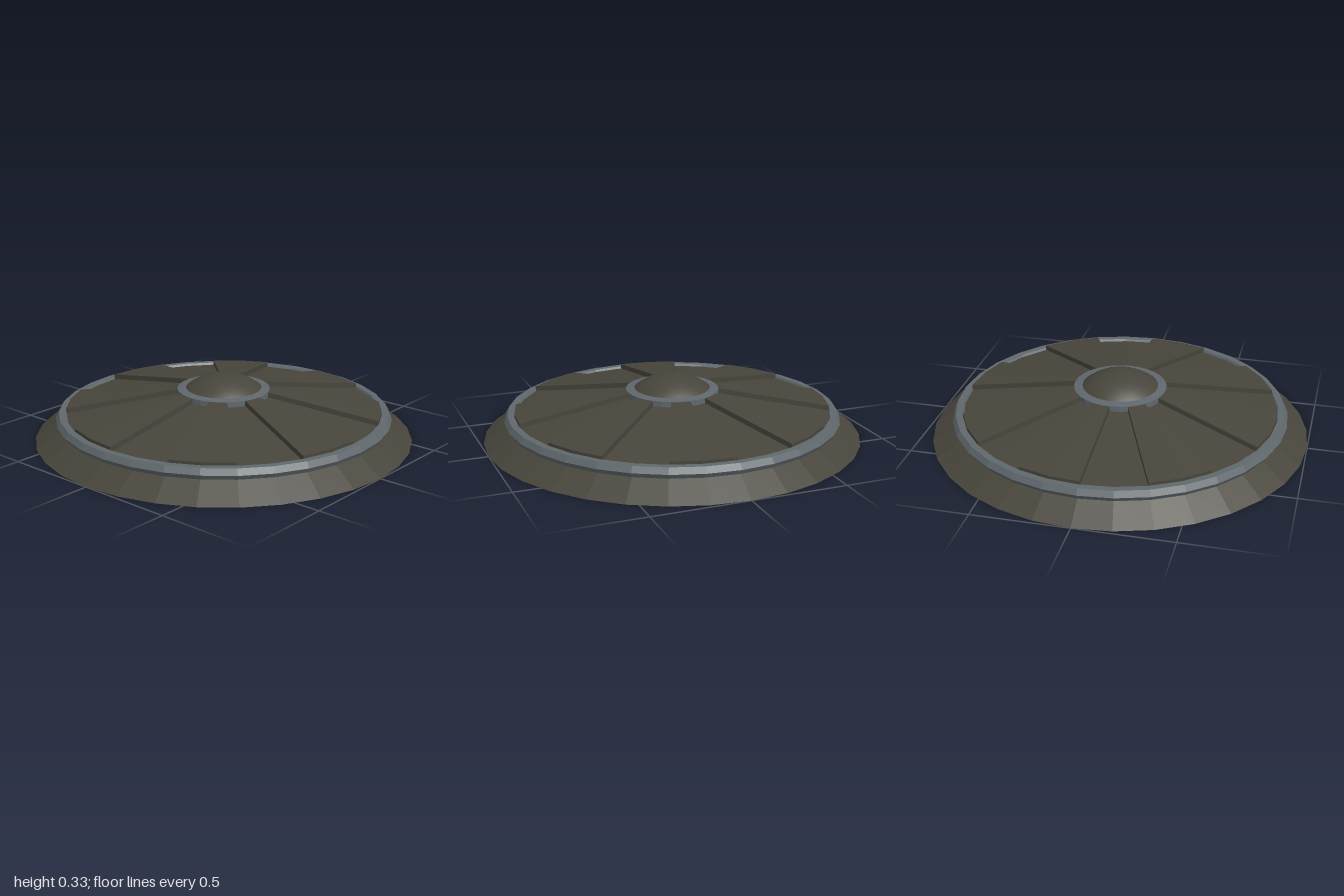
import * as THREE from 'three';

const hull = new THREE.MeshStandardMaterial({ color: 0x47453b, side: THREE.DoubleSide });
hull.name = 'dark olive hull';
const metal = new THREE.MeshStandardMaterial({ color: 0x60686d, side: THREE.DoubleSide });
metal.name = 'grey metal';

const SIDES = 32;
const PANELS = 16;

// gives every face its own normal
function faceted(geometry) {
  const flat = geometry.toNonIndexed();
  flat.computeVertexNormals();
  return flat;
}

function lathe(points, segments) {
  return new THREE.LatheGeometry(points.map(([r, y]) => new THREE.Vector2(r, y)), segments);
}

// sloping wedge slab: a box bent so that x becomes the angle and z the radius
function panelGeometry(start, lift) {
  const inner = 0.235, outer = 0.835, thickness = 0.03, slope = 0.16;
  const step = (Math.PI * 2) / PANELS;
  const geometry = new THREE.BoxGeometry(1, 1, 1, 2, 1, 1);
  const p = geometry.attributes.position;
  for (let i = 0; i < p.count; i++) {
    const angle = start + (p.getX(i) + 0.5) * step;
    const r = inner + (p.getZ(i) + 0.5) * (outer - inner);
    const y = 0.128 + lift + slope * (outer - r) + (p.getY(i) - 0.5) * thickness;
    p.setXYZ(i, r * Math.sin(angle), y, r * Math.cos(angle));
  }
  return faceted(geometry);
}

export function createModel() {
  const model = new THREE.Group();
  model.name = 'domedDisc';

  const add = (name, geometry, material, parent = model) => {
    const mesh = new THREE.Mesh(geometry, material);
    mesh.name = name;
    parent.add(mesh);
    return mesh;
  };

  // open flared skirt
  add('skirt', faceted(lathe([[1, 0], [0.86, 0.097]], SIDES)), hull);

  // six-sided rim between skirt and roof
  const rim = new THREE.TorusGeometry(0.855, 0.035, 6, SIDES);
  rim.rotateX(-Math.PI / 2);
  rim.translate(0, 0.11, 0);
  add('rimRing', faceted(rim), metal);

  // roof panels, every second one raised
  const roof = new THREE.Group();
  roof.name = 'roofPanels';
  model.add(roof);
  for (let i = 0; i < PANELS; i++) {
    const raised = i % 2 === 1;
    const start = (i * Math.PI * 2) / PANELS;
    add(raised ? 'raisedPanel' : 'lowPanel', panelGeometry(start, raised ? 0.027 : 0), hull, roof);
  }

  // collar around the dome
  const collar = [[0.2, 0.19], [0.245, 0.19], [0.245, 0.251], [0.2, 0.257], [0.2, 0.19]];
  add('hubCollar', faceted(lathe(collar, SIDES)), metal);

  // shallow smooth dome, a cap of a larger sphere
  const radius = 0.31;
  const dome = new THREE.SphereGeometry(radius, SIDES, 10, 0, Math.PI * 2, 0, Math.asin(0.2 / radius));
  dome.translate(0, 0.328 - radius, 0);
  add('dome', dome, hull);

  return model;
}
